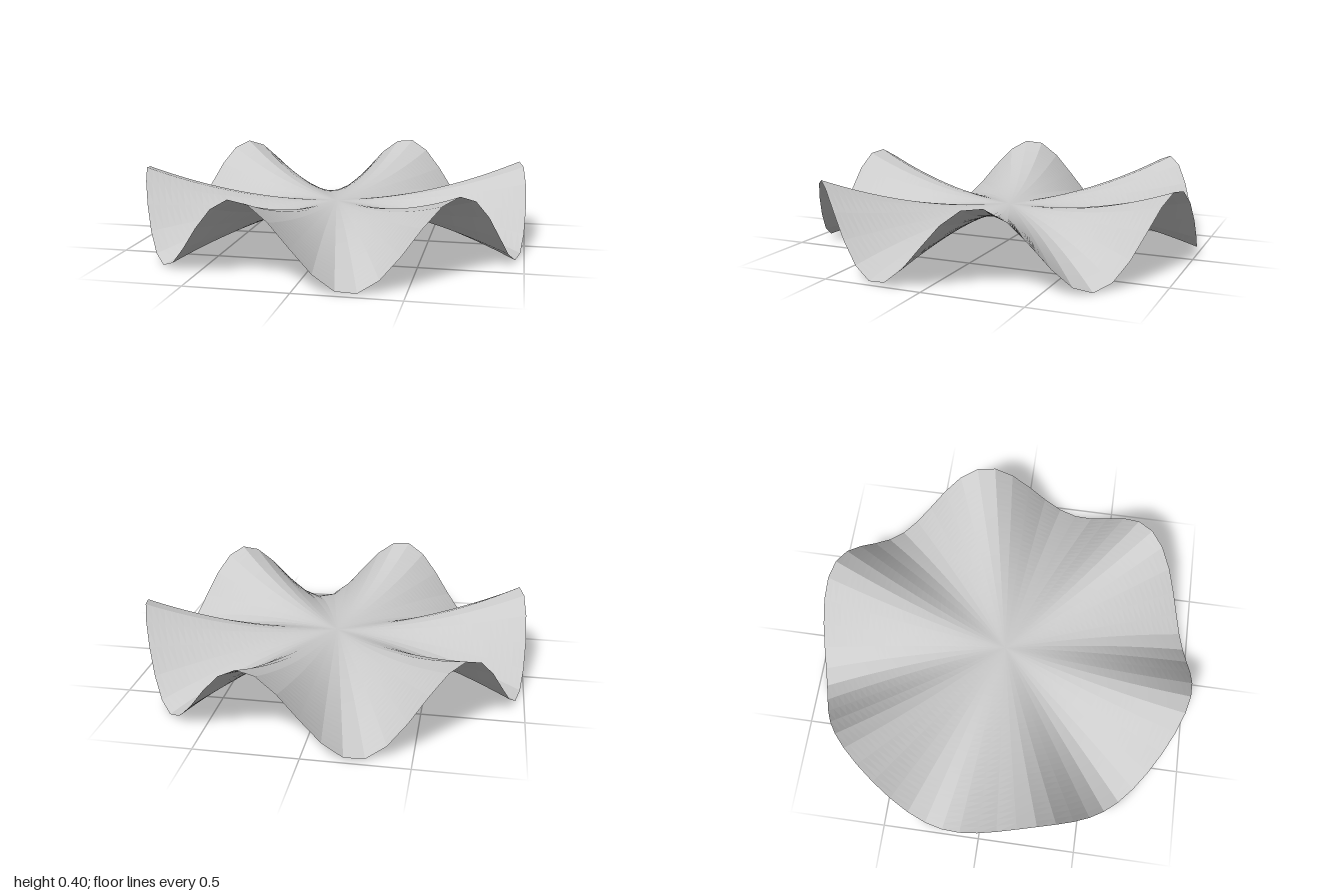
import * as THREE from 'three';

const RADIUS = 1;
const WAVES = 6;
const AMPLITUDE = 0.2;

export function createModel() {
  const group = new THREE.Group();
  group.name = 'ruffledDisc';

  // Flat disc of concentric rings, laid horizontally and facing up
  let geometry = new THREE.RingGeometry(0, RADIUS, 64, 32);
  geometry.rotateX(-Math.PI / 2);

  // Six waves around the rim, fading with the square of the radius
  const pos = geometry.attributes.position;
  for (let i = 0; i < pos.count; i++) {
    const x = pos.getX(i), z = pos.getZ(i);
    const r = Math.hypot(x, z);
    const angle = Math.atan2(z, x);
    pos.setY(i, AMPLITUDE - AMPLITUDE * r * r * Math.sin(WAVES * angle));
  }

  // Faceted shading
  geometry = geometry.toNonIndexed();
  geometry.computeVertexNormals();

  const surface = new THREE.Mesh(geometry, new THREE.MeshStandardMaterial({
    color: 0xcccccc, flatShading: true, side: THREE.DoubleSide,
  }));
  surface.name = 'wavySurface';
  group.add(surface);
  return group;
}
